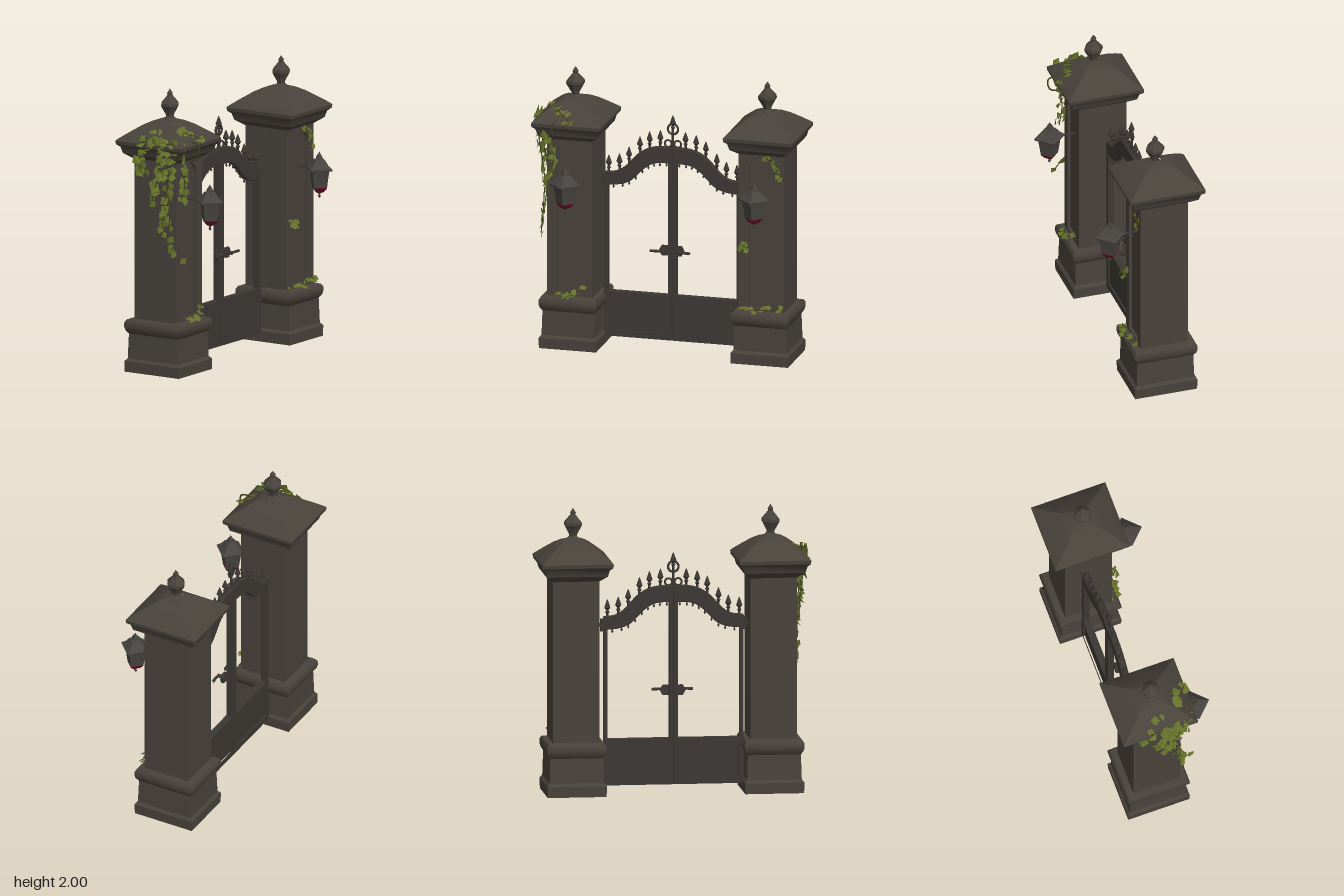
import * as THREE from 'three';
import { mergeGeometries, toCreasedNormals } from 'three/addons/utils/BufferGeometryUtils.js';

const mat = (name, color, side = THREE.FrontSide) => {
  const m = new THREE.MeshStandardMaterial({ color, side });
  m.name = name;
  return m;
};
const V2 = (a) => a.map(([x, y]) => new THREE.Vector2(x, y));
const curve3 = (...pts) => new THREE.CatmullRomCurve3(pts.map((p) => new THREE.Vector3(...p)));

const add = (parent, name, geo, material, x = 0, y = 0, z = 0) => {
  const m = new THREE.Mesh(geo, material);
  m.name = name;
  m.position.set(x, y, z);
  parent.add(m);
};
const group = (parent, name, x = 0, y = 0, z = 0) => {
  const g = new THREE.Group();
  g.name = name;
  g.position.set(x, y, z);
  parent.add(g);
  return g;
};
// Turned profile of [radius, height] pairs with a given number of sides
const turned = (pts, sides, phase = 0) => toCreasedNormals(new THREE.LatheGeometry(V2(pts), sides, phase), 0.5);
// Rectangular moulding from [half width, height] pairs, slightly narrower in z
const moulding = (pts) => toCreasedNormals(
  new THREE.LatheGeometry(V2(pts), 4, Math.PI / 4).scale(Math.SQRT2, 1, Math.SQRT2 * 0.91), 0.6);
// Shape drawn in (z, y), thickened along x and centred
const plate = (shape, depth) => new THREE.ExtrudeGeometry(shape, { depth, bevelEnabled: false, curveSegments: 10 })
  .translate(0, 0, -depth / 2).rotateY(-Math.PI / 2);
// Upright rectangle outline between two z values and two heights
const rect = (z0, z1, y0, y1) => V2([[z0, y0], [z1, y0], [z1, y1], [z0, y1]]);

export function createModel() {
  const root = new THREE.Group();
  const stone = mat('stone', 0x48423b);
  const iron = mat('iron', 0x3c3834);
  const lanternMetal = mat('lanternMetal', 0x474441);
  const glow = mat('redGlass', 0x6a0f2a);
  const leafGreen = mat('leaf', 0x65722a, THREE.DoubleSide);
  const stemGreen = mat('stem', 0x40431e);

  // ---- Pillars ----
  const baseGeo = moulding([[0, 0], [0.226, 0], [0.228, 0.075], [0.21, 0.095], [0.204, 0.27],
    [0.222, 0.295], [0.229, 0.32], [0.228, 0.35], [0.215, 0.37], [0.17, 0.378]]);
  const capGeo = moulding([[0.15, 1.5], [0.178, 1.51], [0.235, 1.55], [0.248, 1.595], [0.272, 1.615],
    [0.275, 1.64], [0.262, 1.652], [0.205, 1.695], [0.135, 1.745], [0.085, 1.772], [0.03, 1.79]]);
  const finialGeo = turned([[0.052, 1.77], [0.05, 1.785], [0.03, 1.8], [0.03, 1.815], [0.068, 1.88],
    [0.066, 1.9], [0.018, 1.955], [0.022, 1.968], [0, 2]], 6, Math.PI / 6);
  const frame = new THREE.Shape(rect(-0.163, 0.163, 0.37, 1.52));
  const niche = new THREE.Path();
  niche.moveTo(-0.092, 0.4).lineTo(-0.092, 1.4).absarc(0, 1.4, 0.092, Math.PI, 0, true).lineTo(0.092, 0.4);
  frame.holes.push(niche);
  const nicheGeo = plate(frame, 0.022);

  // ---- Lantern pieces ----
  const roofGeo = turned([[0, 1.222], [0.108, 1.225], [0.112, 1.237], [0.075, 1.265], [0.045, 1.3],
    [0.028, 1.303], [0.028, 1.315], [0, 1.355]], 4);
  const bodyGeo = turned([[0.058, 1.1], [0.064, 1.105], [0.082, 1.215], [0.086, 1.225]], 4);
  const trayGeo = turned([[0.01, 1.062], [0.036, 1.07], [0.064, 1.098], [0.062, 1.106], [0, 1.106]], 4);
  const lampDropGeo = turned([[0, 1.025], [0.013, 1.04], [0.006, 1.05], [0.014, 1.066]], 4);

  const pillar = (name, z, lampZ) => {
    const p = group(root, name, -0.09, 0, z);
    add(p, 'pillarBase', baseGeo, stone);
    add(p, 'pillarShaft', new THREE.BoxGeometry(0.325, 1.15, 0.326), stone, -0.01, 0.945, 0);
    add(p, 'nicheFrame', nicheGeo, stone, 0.163, 0, 0);
    add(p, 'pillarCap', capGeo, stone);
    add(p, 'finial', finialGeo, stone, 0.014, 0, 0);
    const l = group(root, 'lantern', 0.25, 0, lampZ);
    add(l, 'lanternRoof', roofGeo, lanternMetal);
    add(l, 'lanternBody', bodyGeo, lanternMetal);
    add(l, 'lanternTray', trayGeo, glow);
    add(l, 'lanternDrop', lampDropGeo, lanternMetal);
    add(l, 'lanternArm', new THREE.BoxGeometry(0.14, 0.012, 0.012), iron, -0.14, 1.232, 0);
  };
  pillar('frontPillar', 0.682, 0.668);
  pillar('backPillar', -0.7, -0.692);

  // ---- Gate ----
  const gate = group(root, 'gate', -0.13, 0, -0.005);
  const topEdge = new THREE.SplineCurve(V2([[0.49, 1.232], [0.41, 1.24], [0.34, 1.28], [0.255, 1.37],
    [0.18, 1.42], [0.1, 1.44], [0.002, 1.445]]));
  const lowEdge = new THREE.SplineCurve(V2([[0.002, 1.342], [0.08, 1.342], [0.15, 1.328], [0.22, 1.28],
    [0.3, 1.2], [0.38, 1.165], [0.49, 1.155]]));
  const spearGeo = turned([[0.009, 0], [0.009, 0.035], [0.016, 0.045], [0.007, 0.056], [0.022, 0.075],
    [0.017, 0.09], [0.007, 0.12], [0, 0.135]], 6);
  const dropGeo = turned([[0, -0.03], [0.009, -0.018], [0.004, -0.008], [0.006, 0.01]], 5);
  const roseGeo = new THREE.CylinderGeometry(0.04, 0.042, 0.02, 6).rotateZ(Math.PI / 2);
  const neckGeo = new THREE.CylinderGeometry(0.012, 0.014, 0.05, 8).rotateZ(Math.PI / 2);

  for (const s of [1, -1]) {
    const leaf = group(gate, s > 0 ? 'frontGateLeaf' : 'backGateLeaf');
    const arch = [...topEdge.getPoints(24), ...lowEdge.getPoints(24)];
    add(leaf, 'archRail', plate(new THREE.Shape(arch.map((p) => new THREE.Vector2(p.x * s, p.y))), 0.045), iron);
    // Raised lips following the arch
    for (const edge of [topEdge, lowEdge]) {
      const path = curve3(...edge.getPoints(12).map((p) => [0, p.y, p.x * s]));
      add(leaf, 'archLip', new THREE.TubeGeometry(path, 24, 0.01, 6).scale(2.6, 1, 1), iron);
    }
    // Kick panel with recessed middle
    const kick = new THREE.Shape(rect(0.002 * s, 0.49 * s, 0.055, 0.38));
    kick.holes.push(new THREE.Path(rect(0.025 * s, 0.452 * s, 0.1, 0.33)));
    add(leaf, 'kickFrame', plate(kick, 0.05), iron);
    add(leaf, 'kickPanel', new THREE.BoxGeometry(0.026, 0.25, 0.45), iron, 0, 0.215, s * 0.24);
    // Stiles and hinge
    add(leaf, 'meetingStile', new THREE.BoxGeometry(0.045, 1.06, 0.028), iron, 0, 0.9, s * 0.016);
    add(leaf, 'hingeStile', new THREE.BoxGeometry(0.045, 0.84, 0.028), iron, 0, 0.79, s * 0.476);
    add(leaf, 'hingePin', new THREE.CylinderGeometry(0.012, 0.012, 0.09, 8), iron, 0, 1.18, s * 0.5);
    add(leaf, 'hingeArm', new THREE.BoxGeometry(0.035, 0.025, 0.06), iron, 0, 1.18, s * 0.52);
    // Spears above the arch, drops below it
    for (let i = 0; i < 6; i++) {
      const p = topEdge.getPoint(0.07 + i * 0.156);
      add(leaf, 'spear', spearGeo, iron, 0, p.y - 0.006, s * p.x);
    }
    for (let i = 1; i < 10; i++) {
      const p = lowEdge.getPoint(i / 10);
      add(leaf, 'drop', dropGeo, iron, 0, p.y - 0.008, s * p.x);
    }
    // Lever handle
    add(leaf, 'handleRose', roseGeo, iron, 0.03, 0.71, s * 0.05);
    add(leaf, 'handleNeck', neckGeo, iron, 0.055, 0.71, s * 0.05);
    const lever = curve3([0.07, 0.71, 0.04 * s], [0.076, 0.712, 0.08 * s], [0.07, 0.71, 0.145 * s]);
    add(leaf, 'handleLever', new THREE.TubeGeometry(lever, 10, 0.01, 6), iron);
    // Scroll ring beside the crest
    add(leaf, 'crestScroll', new THREE.TorusGeometry(0.025, 0.007, 6, 14).rotateY(Math.PI / 2), iron, 0, 1.475, s * 0.034);
  }
  // Central crest
  add(gate, 'crestRod', new THREE.CylinderGeometry(0.009, 0.009, 0.14, 6), iron, 0, 1.49, 0);
  add(gate, 'crestRing', new THREE.TorusGeometry(0.037, 0.008, 6, 18).rotateY(Math.PI / 2), iron, 0, 1.582, 0);
  add(gate, 'crestSpear', spearGeo, iron, 0, 1.55, 0);

  // ---- Ivy ----
  let seed = 7;
  const rnd = () => (seed = (seed * 16807) % 2147483647) / 2147483647;
  const jitter = (a) => (rnd() - 0.5) * 2 * a;
  // Four-sided leaf folded along its middle, tip hanging down and facing +z
  const ivyLeaf = (size) => {
    const g = new THREE.PlaneGeometry(0.7, 0.7).rotateZ(Math.PI / 4).toNonIndexed();
    const pos = g.attributes.position;
    for (let i = 0; i < pos.count; i++) pos.setZ(i, -0.25 * Math.abs(pos.getX(i)));
    g.computeVertexNormals();
    return g.scale(size * 0.9, size, size);
  };
  const ivy = group(root, 'ivy');
  // Stem through three points with leaves scattered along it
  const strand = (count, size, pitch, yaw, ...pts) => {
    const path = curve3(...pts);
    add(ivy, 'ivyStem', new THREE.TubeGeometry(path, 16, 0.004, 5), stemGreen);
    const leaves = [];
    for (let i = 0; i < count; i++) {
      const p = path.getPoint((i + rnd()) / count);
      leaves.push(ivyLeaf(size * (0.75 + 0.4 * rnd()))
        .rotateZ(jitter(0.9)).rotateX(pitch + jitter(0.4)).rotateY(yaw + jitter(0.6))
        .translate(p.x + jitter(size * 0.45), p.y + jitter(size * 0.3), p.z + jitter(size * 0.2)));
    }
    add(ivy, 'ivyLeaves', mergeGeometries(leaves), leafGreen);
  };
  const hang = -0.2, rest = -1.1;
  // Over the cap
  strand(30, 0.085, rest, 0.4, [-0.15, 1.68, 0.87], [0.04, 1.73, 0.8], [0.18, 1.67, 0.66]);
  strand(11, 0.08, -0.6, 0, [-0.16, 1.65, 0.92], [0, 1.66, 0.93], [0.15, 1.66, 0.9]);
  // Down the front pillar
  strand(15, 0.075, hang, 0, [-0.04, 1.66, 0.93], [-0.2, 1.5, 0.89], [-0.16, 1.4, 0.88]);
  strand(20, 0.075, hang, 0, [0.03, 1.66, 0.93], [-0.03, 1.43, 0.9], [-0.1, 1.2, 0.88]);
  strand(24, 0.075, hang, 0.2, [0.1, 1.66, 0.92], [0.04, 1.35, 0.89], [-0.02, 1.05, 0.87]);
  strand(18, 0.065, hang, 1.3, [0.16, 1.66, 0.88], [0.12, 1.42, 0.79], [0.13, 1.22, 0.82]);
  strand(11, 0.06, hang, 0.5, [0.05, 1.15, 0.87], [0.05, 0.95, 0.88], [0.14, 0.84, 0.87]);
  strand(12, 0.055, rest, 1.3, [0.11, 0.41, 0.76], [0.15, 0.4, 0.66], [0.1, 0.47, 0.56]);
  // On the back pillar
  strand(13, 0.045, hang, 1.4, [0.09, 1.52, -0.69], [0.1, 1.46, -0.79], [0.1, 1.34, -0.84]);
  strand(7, 0.06, -0.7, 1.4, [0.09, 0.86, -0.55], [0.12, 0.85, -0.58], [0.1, 0.84, -0.62]);
  strand(13, 0.055, rest, 1.4, [0.11, 0.4, -0.54], [0.14, 0.4, -0.68], [0.11, 0.42, -0.85]);
  // Looping tendril at the cap corner
  const tendril = curve3([0.13, 1.67, 0.76], [0.225, 1.64, 0.77], [0.215, 1.56, 0.77], [0.16, 1.53, 0.78]);
  add(ivy, 'tendril', new THREE.TubeGeometry(tendril, 18, 0.006, 5), stemGreen);

  return root;
}
